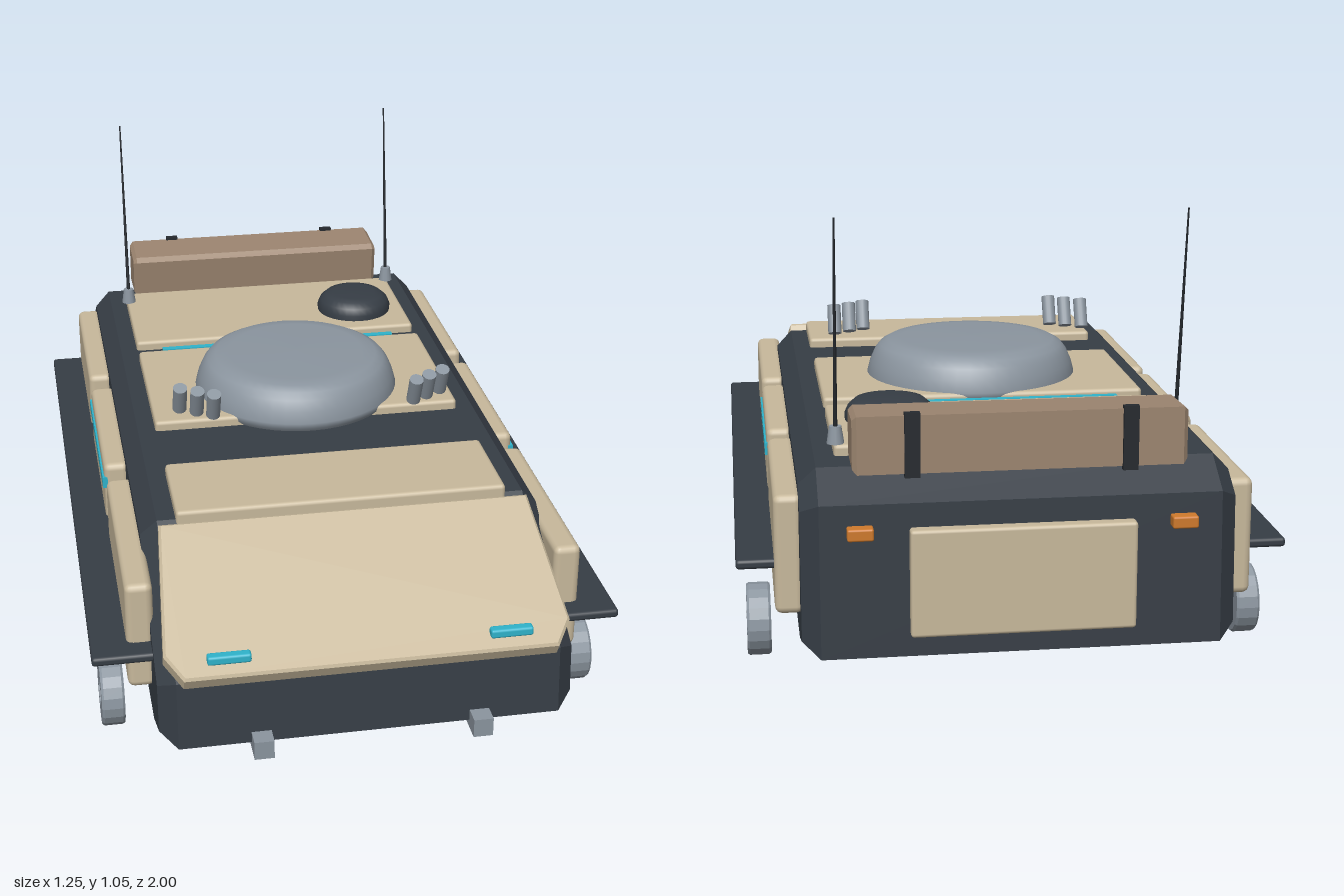
import * as THREE from 'three';
import { RoundedBoxGeometry } from 'three/addons/geometries/RoundedBoxGeometry.js';

const paint = (name, color) => {
  const m = new THREE.MeshStandardMaterial({ color });
  m.name = name;
  return m;
};

export function createModel() {
  const model = new THREE.Group();
  model.name = 'armouredCarrier';
  const dark = paint('darkHull', 0x363d45);
  const black = paint('blackFittings', 0x25292e);
  const tan = paint('tanArmour', 0xc8b99c);
  const brown = paint('brownStowage', 0x9c8570);
  const grey = paint('greyMetal', 0x8b959f);
  const cyan = paint('cyanLight', 0x2fb3cb);
  const orange = paint('orangeLight', 0xcf7a2c);

  const add = (name, geometry, material, x = 0, y = 0, z = 0) => {
    const mesh = new THREE.Mesh(geometry, material);
    mesh.name = name;
    mesh.position.set(x, y, z);
    model.add(mesh);
    return mesh;
  };
  const box = (name, mat, w, h, d, x, y, z) => add(name, new THREE.BoxGeometry(w, h, d), mat, x, y, z);
  const slab = (name, mat, w, h, d, x, y, z, r) =>
    add(name, new RoundedBoxGeometry(w, h, d, 2, r), mat, x, y, z);
  const lathe = (name, mat, pts, x, y, z, sides = 40) =>
    add(name, new THREE.LatheGeometry(pts.map(p => new THREE.Vector2(...p)), sides), mat, x, y, z);
  const outline = pts => new THREE.Shape(pts.map(p => new THREE.Vector2(...p)));

  // Hull: side profile (z, y) extruded across the width with chamfered flanks
  const hull = new THREE.ExtrudeGeometry(outline([
    [-0.82, 0.045], [0.79, 0.045], [0.955, 0.115], [0.94, 0.28], [0.61, 0.48],
    [0.58, 0.5], [-0.87, 0.5], [-0.965, 0.44], [-0.98, 0.095],
  ]), { depth: 0.89, bevelEnabled: true, bevelSegments: 1, bevelSize: 0.04, bevelThickness: 0.04, bevelOffset: -0.04 });
  hull.translate(0, 0, -0.445).rotateY(-Math.PI / 2);
  add('hull', hull, dark);

  // Sloped nose plate with clipped lower corners
  const nose = new THREE.ExtrudeGeometry(outline([
    [-0.43, 0], [0.43, 0], [0.47, 0.065], [0.445, 0.41], [-0.445, 0.41], [-0.47, 0.065],
  ]), { depth: 0.033, bevelEnabled: true, bevelSegments: 1, bevelSize: 0.006, bevelThickness: 0.006, bevelOffset: -0.006 });
  nose.translate(0, 0, 0.006);
  add('nosePlate', nose, tan, 0, 0.275, 0.957).rotation.x = -1.065;

  // Roof panels
  for (const [z0, z1] of [[0.34, 0.595], [-0.35, 0.11], [-0.785, -0.41]])
    slab('roofPanel', tan, 0.8, 0.045, z1 - z0, 0, 0.503, (z0 + z1) / 2, 0.01);
  box('roofLightStrip', cyan, 0.66, 0.025, 0.018, 0, 0.505, -0.375);

  // Turret dome and hatch
  lathe('turretDome', grey, [
    [0.25, 0.49], [0.268, 0.51], [0.27, 0.525], [0.262, 0.555], [0.25, 0.582],
    [0.236, 0.599], [0.215, 0.61], [0.18, 0.614], [0, 0.616],
  ], 0, 0, -0.085, 48);
  lathe('hatch', dark, [
    [0.105, 0.515], [0.106, 0.54], [0.098, 0.558], [0.082, 0.572], [0.06, 0.577], [0, 0.578],
  ], 0.255, 0, -0.56, 32);

  // Rear stowage box and its straps
  const stowage = new THREE.ExtrudeGeometry(outline([
    [-0.945, 0.5], [-0.81, 0.505], [-0.8, 0.613], [-0.815, 0.625], [-0.945, 0.63],
  ]), { depth: 0.72, bevelEnabled: true, bevelSegments: 1, bevelSize: 0.01, bevelThickness: 0.01, bevelOffset: -0.01 });
  stowage.translate(0, 0, -0.36).rotateY(-Math.PI / 2);
  add('stowageBox', stowage, brown);

  // Rear door
  slab('rearDoor', tan, 0.5, 0.245, 0.035, 0, 0.265, -0.9825, 0.008);

  // Hollow wheel ring, turned about the x axis
  const wheel = new THREE.LatheGeometry([
    [0.036, -0.0275], [0.08, -0.0275], [0.08, -0.0275], [0.084, -0.022], [0.084, 0.022],
    [0.08, 0.0275], [0.036, 0.0275], [0.036, -0.0275],
  ].map(p => new THREE.Vector2(...p)), 20).toNonIndexed();
  wheel.rotateZ(Math.PI / 2).computeVertexNormals();

  for (const s of [-1, 1]) {
    // Flank armour, light bars and side rail
    for (const [z0, z1] of [[0.235, 0.77], [-0.315, 0.165], [-0.88, -0.385]])
      slab('sidePanel', tan, 0.065, 0.275, z1 - z0, s * 0.508, 0.303, (z0 + z1) / 2, 0.017);
    box('sideLightBar', cyan, 0.03, 0.03, 0.475, s * 0.53, 0.39, -0.075);
    box('sideLightStrip', cyan, 0.04, 0.13, 0.01, s * 0.495, 0.305, -0.35);
    slab('sideRail', dark, 0.15, 0.022, 1.69, s * 0.55, 0.28, -0.02, 0.008);

    for (const z of [0.645, -0.01, -0.675]) add('wheel', wheel, grey, s * 0.575, 0.084, z);

    // Nose and tail fittings
    slab('headlight', cyan, 0.1, 0.022, 0.025, s * 0.325, 0.34, 0.942, 0.006);
    box('towLug', grey, 0.046, 0.046, 0.065, s * 0.255, 0.118, 0.963);
    box('stowageStrap', black, 0.034, 0.145, 0.016, s * 0.24, 0.565, -0.945);
    slab('tailLight', orange, 0.058, 0.028, 0.035, s * 0.357, 0.38, -0.978, 0.005);

    // Tilted smoke launchers
    [[0.34, 0.165], [0.299, 0.19], [0.26, 0.215]].forEach(([x, z]) => {
      const tube = add('smokeLauncher', new THREE.CylinderGeometry(0.018, 0.018, 0.078, 16), grey, s * x, 0.616, z);
      tube.rotation.x = 0.42;
    });

    // Antenna leaning backwards from its mount
    const z = s < 0 ? -0.72 : -0.765;
    add('antennaMount', new THREE.CylinderGeometry(0.014, 0.02, 0.04, 12), grey, s * 0.395, 0.545, z);
    const whip = new THREE.CylinderGeometry(0.002, 0.005, 0.5, 8).translate(0, 0.25, 0);
    add('antenna', whip, black, s * 0.395, 0.55, z).rotation.x = -0.145;
  }
  return model;
}
